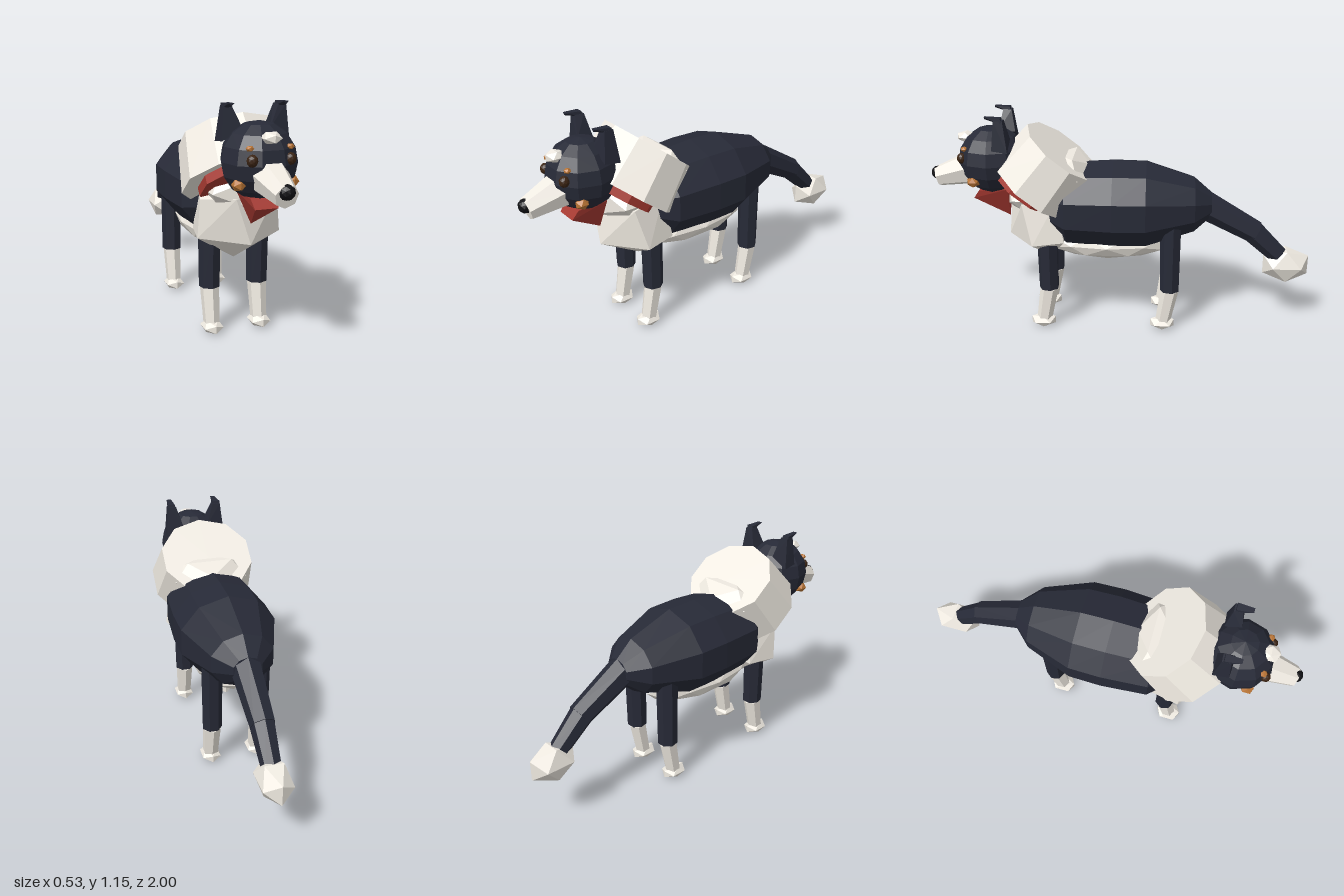
import * as THREE from 'three';
import { ConvexGeometry } from 'three/addons/geometries/ConvexGeometry.js';

const mat = (color) => new THREE.MeshStandardMaterial({ color, flatShading: true });
const V = (x, y, z) => new THREE.Vector3(x, y, z);

export function createModel() {
  const model = new THREE.Group();
  model.name = 'dog';
  const navy = mat(0x272a37), white = mat(0xefeae1), red = mat(0xa83a32);
  const orange = mat(0xb87435), brown = mat(0x3b2413), black = mat(0x101013);

  const add = (name, geometry, material) => {
    const mesh = new THREE.Mesh(geometry, material);
    mesh.name = name;
    model.add(mesh);
    return mesh;
  };
  // faceted lump: centre and half sizes
  const lump = (name, c, s, material, detail = 0) => {
    const mesh = add(name, new THREE.IcosahedronGeometry(1, detail), material);
    mesh.position.set(...c);
    mesh.scale.set(...s);
    return mesh;
  };
  // tapered tube from point a to point b
  const limb = (name, a, b, ra, rb, sides, material) => {
    const d = b.clone().sub(a);
    const mesh = add(name, new THREE.CylinderGeometry(rb, ra, d.length(), sides), material);
    mesh.position.copy(a).addScaledVector(d, 0.5);
    mesh.quaternion.setFromUnitVectors(V(0, 1, 0), d.normalize());
    return mesh;
  };
  // ten-sided collar tilted up towards the head
  const collar = (name, y, z, rTop, rBottom, height, material) => {
    const mesh = add(name, new THREE.CylinderGeometry(rTop, rBottom, height, 10), material);
    mesh.position.set(0, y, z);
    mesh.rotation.x = -0.657;
    return mesh;
  };
  const hull = (name, points, material) =>
    add(name, new ConvexGeometry(points.map((p) => V(...p))), material);
  const mirrored = (points) => points.flatMap(([x, y, z]) => [[x, y, z], [-x, y, z]]);

  // barrel-shaped body
  const profile = [[0, -0.475], [0.075, -0.47], [0.165, -0.38], [0.258, -0.13],
    [0.262, 0.04], [0.245, 0.28], [0.13, 0.42], [0, 0.43]];
  const bodyGeo = new THREE.LatheGeometry(profile.map(([r, z]) => new THREE.Vector2(r, z)), 10);
  bodyGeo.rotateX(Math.PI / 2).scale(1, 0.88, 1);
  add('body', bodyGeo, navy).position.y = 0.675;
  lump('belly', [0, 0.475, 0.07], [0.17, 0.1, 0.36], white, 1);

  // chest and neck fur
  hull('chest', [[0, 0.49, 0.6], [-0.07, 0.71, 0.59], [0, 0.365, 0.38], [0.17, 0.71, 0.5], [-0.2, 0.69, 0.46],
    ...mirrored([[0.21, 0.5, 0.45], [0.18, 0.51, 0.29], [0.15, 0.74, 0.32]])], white);
  lump('neck', [0, 0.73, 0.47], [0.2, 0.13, 0.15], white);
  lump('mane', [0, 0.865, 0.265], [0.23, 0.09, 0.11], white).rotation.x = -0.3;

  // ruff and neckerchief
  collar('ruff', 0.854, 0.374, 0.248, 0.279, 0.245, white).scale.z = 0.92;
  collar('scarfBand', 0.765, 0.49, 0.21, 0.21, 0.05, red);
  hull('scarfPoint', [[0, 0.592, 0.594],
    ...mirrored([[0.075, 0.76, 0.59], [0.055, 0.705, 0.77], [0.065, 0.75, 0.74]])], red);

  // head, muzzle and nose
  const head = add('head', new THREE.SphereGeometry(0.175, 10, 8), navy);
  head.position.set(0, 0.905, 0.67);
  limb('muzzle', V(0, 0.85, 0.80), V(0, 0.805, 0.965), 0.086, 0.054, 7, white);
  lump('nose', [0, 0.825, 0.965], [0.037, 0.035, 0.036], black, 1);
  lump('blaze', [0, 1.022, 0.8], [0.048, 0.03, 0.053], white);

  for (const s of [1, -1]) {
    const side = s > 0 ? 'left' : 'right';
    const flip = (points) => points.map(([x, y, z]) => [x * s, y, z]);

    // face markings
    lump(side + 'Eye', [0.088 * s, 0.93, 0.81], [0.025, 0.028, 0.025], brown, 1);
    lump(side + 'Brow', [0.093 * s, 0.98, 0.793], [0.019, 0.014, 0.018], orange);
    lump(side + 'Cheek', [0.125 * s, 0.817, 0.75], [0.033, 0.029, 0.036], orange);

    // ear with its tip folded forward
    hull(side + 'Ear', flip([[0.165, 0.98, 0.56], [0.07, 1.03, 0.56], [0.16, 0.99, 0.64],
      [0.065, 1.04, 0.645], [0.105, 1.14, 0.58], [0.148, 1.14, 0.58],
      [0.11, 1.14, 0.625], [0.148, 1.14, 0.625]]), navy);
    hull(side + 'EarTip', flip([[0.106, 1.125, 0.585], [0.15, 1.125, 0.585], [0.11, 1.152, 0.59],
      [0.148, 1.152, 0.59], [0.115, 1.157, 0.67], [0.14, 1.157, 0.67], [0.128, 1.145, 0.67]]), navy);

    // legs with pale socks and paws
    for (const [name, z, top] of [['Front', 0.38, 0.52], ['Hind', -0.262, 0.6]]) {
      const x = 0.125 * s, leg = side + name;
      limb(leg + 'Leg', V(x, 0.23, z), V(x, top, z), 0.052, 0.056, 7, navy);
      limb(leg + 'Sock', V(x, 0.03, z + 0.035), V(x, 0.23, z), 0.04, 0.048, 6, white);
      lump(leg + 'Paw', [x, 0.033, z + 0.037], [0.056, 0.036, 0.075], white);
    }
  }

  // drooping tail
  limb('tailBase', V(0, 0.68, -0.42), V(0, 0.52, -0.71), 0.078, 0.062, 7, navy);
  limb('tailMiddle', V(0, 0.53, -0.69), V(0, 0.37, -0.86), 0.062, 0.048, 7, navy);
  lump('tailTip', [0, 0.338, -0.88], [0.088, 0.1, 0.14], white);

  return model;
}
